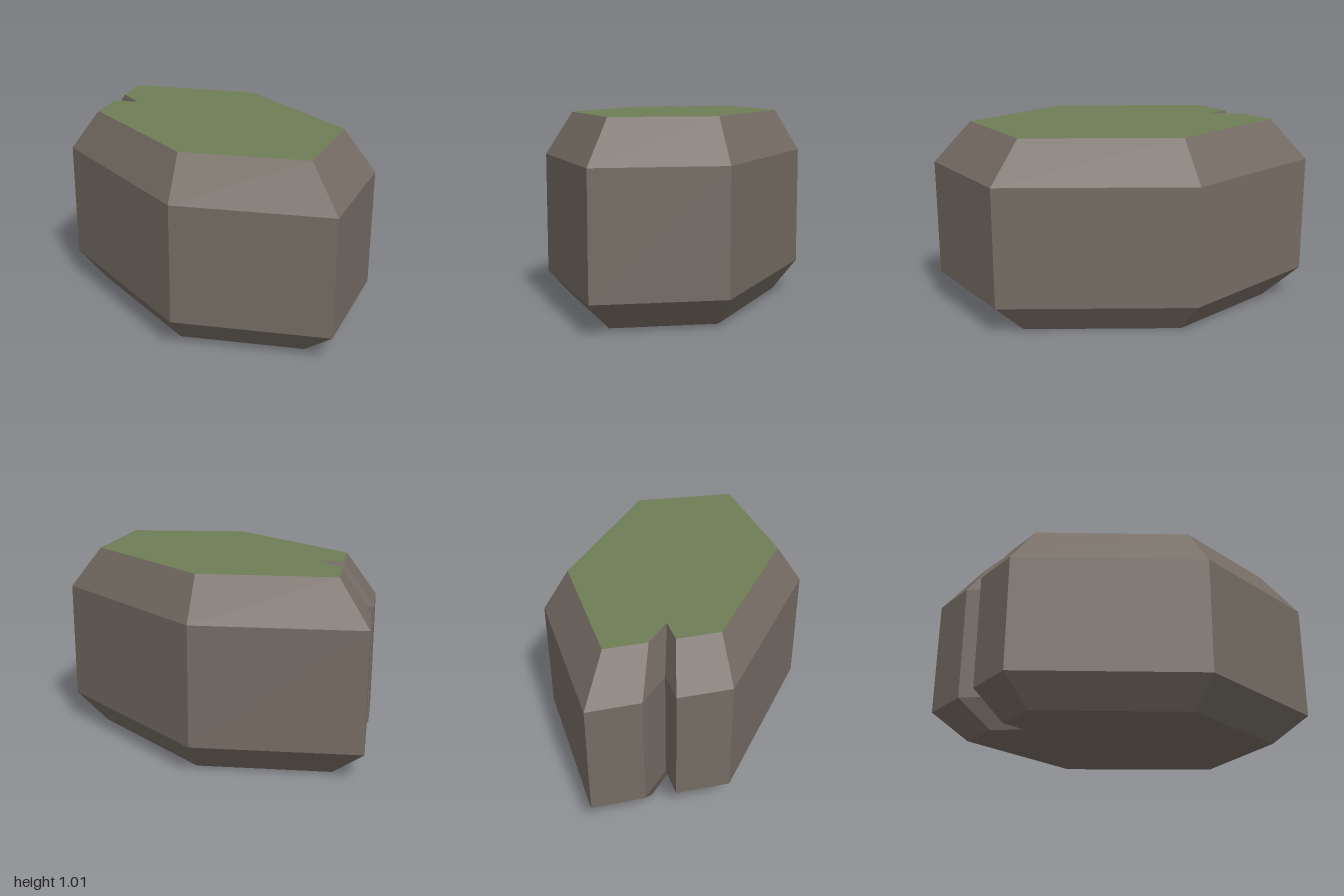
import * as THREE from 'three';

// Widest outline of the rock seen from above (x, z), with a cleft on the -x side
const OUTLINE = [
  [-1, -0.13], [-0.29, -0.62], [0.72, -0.47], [1, 0.13], [0.36, 0.615],
  [-0.645, 0.485], [-0.785, 0.245], [-0.65, 0.15], [-0.86, 0.105],
];
// Height and outline scale of each ring
const RINGS = [[0, 0.8], [0.16, 1], [0.79, 1], [1.01, 0.8]];

// Flat-faced band joining two rings
function band([y0, s0], [y1, s1]) {
  const pos = [];
  OUTLINE.forEach(([ax, az], i) => {
    const [bx, bz] = OUTLINE[(i + 1) % OUTLINE.length];
    const lowB = [bx * s0, y0, bz * s0], lowA = [ax * s0, y0, az * s0];
    const topA = [ax * s1, y1, az * s1], topB = [bx * s1, y1, bz * s1];
    pos.push(...lowB, ...lowA, ...topA, ...lowB, ...topA, ...topB);
  });
  const geometry = new THREE.BufferGeometry();
  geometry.setAttribute('position', new THREE.Float32BufferAttribute(pos, 3));
  geometry.computeVertexNormals();
  return geometry;
}

// Flat cap on a ring; dir is 1 for facing up, -1 for facing down
function cap([y, s], dir) {
  const points = OUTLINE.map(([x, z]) => new THREE.Vector2(x * s, -dir * z * s));
  return new THREE.ShapeGeometry(new THREE.Shape(points))
    .rotateX(-dir * Math.PI / 2)
    .translate(0, y, 0);
}

export function createModel() {
  const rock = new THREE.MeshStandardMaterial({ color: 0x756c64 });
  rock.name = 'rock';
  const grass = new THREE.MeshStandardMaterial({ color: 0x6f7d57 });
  grass.name = 'grass';

  const model = new THREE.Group();
  model.name = 'rockPlatform';
  const add = (name, geometry, material) => {
    const mesh = new THREE.Mesh(geometry, material);
    mesh.name = name;
    model.add(mesh);
  };

  // Sloped underside, upright wall, sloped shoulder
  ['lowerBevel', 'wall', 'upperBevel'].forEach((name, i) => add(name, band(RINGS[i], RINGS[i + 1]), rock));
  add('base', cap(RINGS[0], -1), rock);
  add('grassTop', cap(RINGS[3], 1), grass);
  return model;
}
